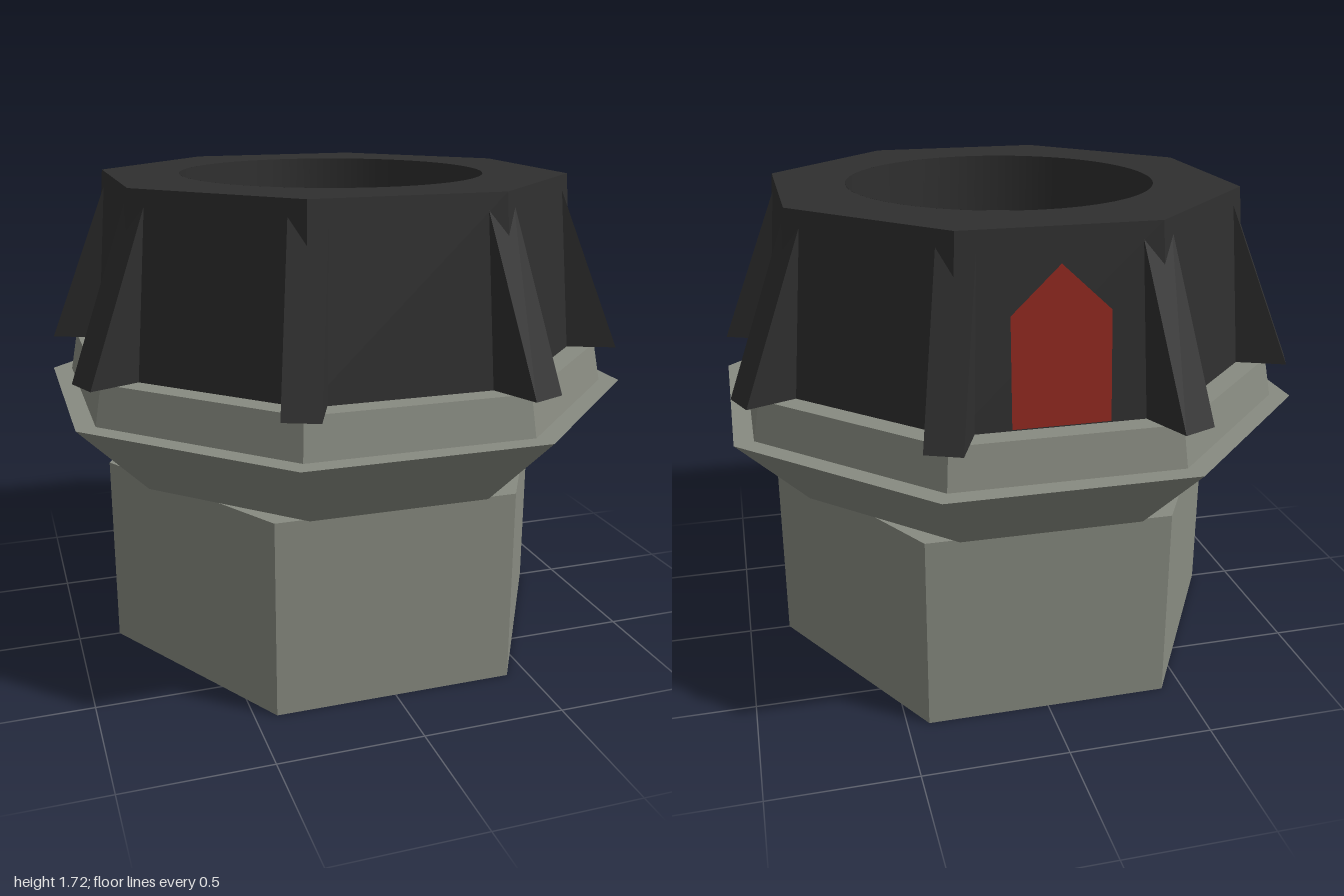
import * as THREE from 'three';

const SLANT = Math.cos(Math.PI / 8); // apothem / corner radius of an octagon

export function createModel() {
  const model = new THREE.Group();
  model.name = 'boltCap';

  const grey = new THREE.MeshStandardMaterial({ color: 0x888b81 });
  grey.name = 'metalGrey';
  const black = new THREE.MeshStandardMaterial({ color: 0x2f2f2f, side: THREE.DoubleSide });
  black.name = 'capBlack';
  const red = new THREE.MeshStandardMaterial({ color: 0x91281f, side: THREE.DoubleSide });
  red.name = 'markRed';

  const add = (name, geometry, material, parent = model) => {
    const mesh = new THREE.Mesh(geometry, material);
    mesh.name = name;
    parent.add(mesh);
    return mesh;
  };

  const flat = (geometry) => {
    const g = geometry.toNonIndexed();
    g.computeVertexNormals();
    return g;
  };

  // Octagonal frustum with flats facing the axes, sized by apothem
  const octagon = (top, bottom, y0, y1, open = false) =>
    new THREE.CylinderGeometry(top / SLANT, bottom / SLANT, y1 - y0, 8, 1, open)
      .rotateY(Math.PI / 8)
      .translate(0, (y0 + y1) / 2, 0);

  // Hexagonal base with corners on the x axis
  const hex = new THREE.CylinderGeometry(0.85, 0.85, 0.695, 6)
    .rotateY(Math.PI / 6)
    .translate(0, 0.3475, 0);
  add('hexBase', flat(hex), grey);

  // Flared collar (softly shaded) and the bevelled ring above it
  add('flaredCollar', octagon(0.997, 0.755, 0.696, 0.96), grey);
  add('bevelRing', flat(octagon(0.905, 0.93, 0.96, 1.1)), grey);

  // Cap: sloping walls, top plate with a round recess
  const cap = new THREE.Group();
  cap.name = 'cap';
  model.add(cap);
  add('capWall', flat(octagon(0.78, 0.83, 1.1, 1.72, true)), black, cap);

  const plate = new THREE.Shape();
  for (let i = 0; i < 8; i++) {
    const a = Math.PI / 8 + (i * Math.PI) / 4;
    const r = 0.78 / SLANT;
    plate[i ? 'lineTo' : 'moveTo'](r * Math.cos(a), r * Math.sin(a));
  }
  plate.closePath();
  plate.holes.push(new THREE.Path().absarc(0, 0, 0.545, 0, Math.PI * 2, true));
  add('capTop', new THREE.ShapeGeometry(plate, 48).rotateX(-Math.PI / 2).translate(0, 1.72, 0), black, cap);
  add('recessWall', new THREE.CylinderGeometry(0.545, 0.545, 0.22, 48, 1, true).translate(0, 1.61, 0), black, cap);
  add('recessFloor', new THREE.CircleGeometry(0.545, 48).rotateX(-Math.PI / 2).translate(0, 1.5, 0), black, cap);

  // Wedge fins on the eight corners
  const profile = new THREE.Shape([
    new THREE.Vector2(0.75, 1.1),
    new THREE.Vector2(1.05, 1.1),
    new THREE.Vector2(0.814, 1.69),
    new THREE.Vector2(0.75, 1.69),
  ]);
  const finGeometry = new THREE.ExtrudeGeometry(profile, { depth: 0.122, bevelEnabled: false })
    .translate(0, 0, -0.061);
  for (let i = 0; i < 8; i++) {
    add('fin', finGeometry, black, cap).rotation.y = Math.PI / 8 + (i * Math.PI) / 4;
  }

  // Pointed red mark lying on the sloping back wall
  const mark = new THREE.Shape([
    new THREE.Vector2(-0.16, 0.005),
    new THREE.Vector2(0.16, 0.005),
    new THREE.Vector2(0.16, 0.36),
    new THREE.Vector2(0, 0.51),
    new THREE.Vector2(-0.16, 0.36),
  ]);
  const markGeometry = new THREE.ShapeGeometry(mark)
    .rotateX(-Math.atan2(0.05, 0.62))
    .translate(0, 1.1, 0.834)
    .rotateY(Math.PI);
  add('backMark', markGeometry, red);

  return model;
}
